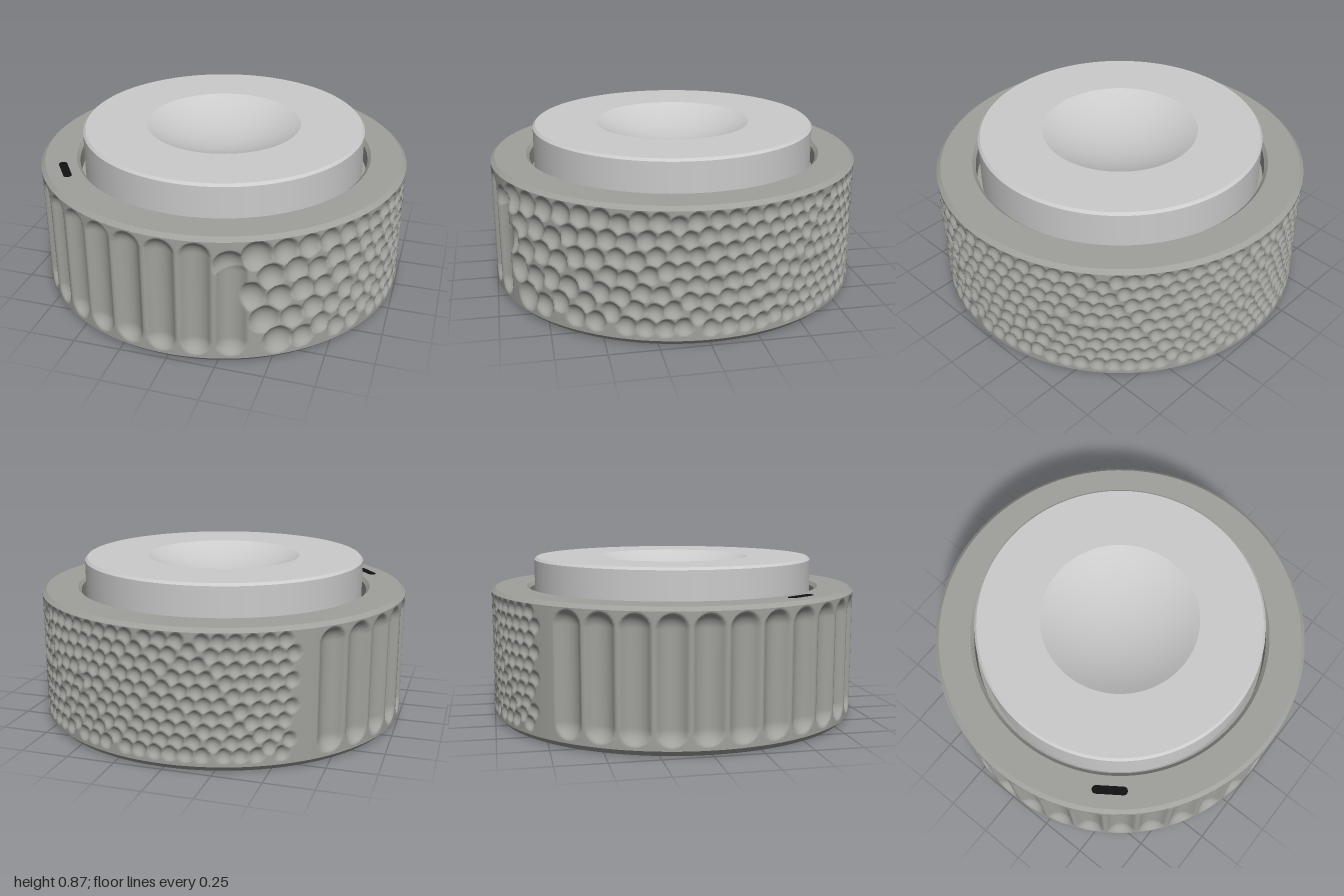
import * as THREE from 'three';
import { mergeVertices, toCreasedNormals } from 'three/addons/utils/BufferGeometryUtils.js';

const DEG = Math.PI / 180;
const BODY = 0xa0a09c, CAP = 0xcccccc, BLACK = 0x111111;

function addMesh(group, name, geometry, color) {
  const mesh = new THREE.Mesh(geometry, new THREE.MeshStandardMaterial({ color }));
  mesh.name = name;
  group.add(mesh);
  return mesh;
}

// Turned part from [radius, height] pairs, keeping the edges sharp
function turned(profile) {
  const points = profile.map(([r, y]) => new THREE.Vector2(r, y));
  return toCreasedNormals(new THREE.LatheGeometry(points, 128), 0.35);
}

// Grip cuts: each is a round-ended groove { t: angle, y, half: straight half length, r }
function gripCuts() {
  const cuts = [];
  // Vertical flutes, the last one cut short by the dimples
  for (let i = 0; i < 15; i++) cuts.push({ t: 8.7 - 10 * i, y: 0.365, half: 0.24, r: 0.075 });
  cuts.push({ t: 18.7, y: 0.32, half: 0.195, r: 0.075 });

  // Dimples packed tightly around the rest, shrinking with the angle
  const dimples = [[18, 0.565], [23.8, 0.39], [25.5, 0.61], [28, 0.25], [32, 0.12]]
    .map(([t, y]) => ({ t, y, half: 0, r: 0.078 }));
  for (let t = 29; t <= 217; t += 0.5) {
    const r = 0.038 + 0.042 * Math.exp(-(t - 18) / 40);
    const low = 0.05 + r, high = 0.685 - r;
    for (let i = 0; i <= 60; i++) {
      // work inwards from the two rims
      const step = (high - low) * Math.floor(i / 2) / 60;
      const y = i % 2 ? low + step : high - step;
      const free = dimples.every(d =>
        Math.hypot((t - d.t) * DEG, y - d.y) > 0.93 * (r + d.r));
      if (free) dimples.push({ t, y, half: 0, r });
    }
  }
  return cuts.concat(dimples);
}

// Outer wall: an open cylinder pushed inwards wherever a cut reaches
function gripWall(bottom, top) {
  const height = top - bottom;
  const geo = new THREE.CylinderGeometry(1, 1, height, 700, 92, true);
  geo.translate(0, bottom + height / 2, 0);
  const cuts = gripCuts();
  const pos = geo.attributes.position;
  for (let i = 0; i < pos.count; i++) {
    const x = pos.getX(i), y = pos.getY(i), z = pos.getZ(i);
    const angle = Math.atan2(x, z) / DEG;
    let depth = 0;
    for (const c of cuts) {
      const dy = Math.max(0, Math.abs(y - c.y) - c.half);
      if (dy > c.r) continue;
      let dt = angle - c.t;
      dt -= 360 * Math.round(dt / 360);
      const d = Math.hypot(dt * DEG, dy);
      if (d >= c.r) continue;
      const h = 0.6 * c.r;
      const R = (c.r * c.r + h * h) / (2 * h);
      depth = Math.max(depth, Math.sqrt(R * R - d * d) - (R - h));
    }
    pos.setXYZ(i, x * (1 - depth), y, z * (1 - depth));
  }
  geo.deleteAttribute('uv');
  geo.deleteAttribute('normal');
  const merged = mergeVertices(geo);
  merged.computeVertexNormals();
  return merged;
}

// D-shaped shaft hole, flat side towards +x
function shaftHole() {
  const path = new THREE.Path();
  path.absarc(0, 0, 0.25, 60 * DEG, 300 * DEG, false);
  path.closePath();
  return path;
}

function disc(radius) {
  const shape = new THREE.Shape();
  shape.absarc(0, 0, radius, 0, Math.PI * 2, false);
  shape.holes.push(shaftHole());
  return shape;
}

export function createModel() {
  const model = new THREE.Group();
  model.name = 'knob';

  // Outer ring
  addMesh(model, 'gripWall', gripWall(0.03, 0.69), BODY);
  addMesh(model, 'bottomChamfer', turned([[0.97, 0], [1, 0.03]]), BODY);
  addMesh(model, 'topRim', turned([
    [1, 0.69], [0.978, 0.71], [0.808, 0.71], [0.79, 0.692], [0.79, 0.6], [0.74, 0.6],
  ]), BODY);

  // Underside with the shaft socket
  const base = new THREE.ShapeGeometry(disc(0.97), 64);
  base.rotateX(Math.PI / 2);
  addMesh(model, 'underside', base, BODY);

  const socket = new THREE.ExtrudeGeometry(disc(0.28), { depth: 0.5, bevelEnabled: false, curveSegments: 48 });
  socket.rotateX(-Math.PI / 2);
  socket.translate(0, 0.001, 0);
  addMesh(model, 'shaftSocket', toCreasedNormals(socket, 0.5), CAP);

  const ceiling = new THREE.CircleGeometry(0.28, 48);
  ceiling.rotateX(Math.PI / 2);
  ceiling.translate(0, 0.5, 0);
  addMesh(model, 'socketCeiling', ceiling, CAP);

  // Raised cap with a spherical finger dish
  const capProfile = [[0.765, 0.58], [0.765, 0.855], [0.752, 0.868]];
  const dishR = 0.42, sphereR = 0.93, rimAngle = Math.asin(dishR / sphereR);
  for (let i = 0; i <= 14; i++) {
    const a = rimAngle * (1 - i / 14);
    capProfile.push([sphereR * Math.sin(a), 0.868 - sphereR * (Math.cos(a) - Math.cos(rimAngle))]);
  }
  addMesh(model, 'cap', turned(capProfile), CAP);

  // Pointer mark on the rim
  const pill = new THREE.Shape();
  pill.absarc(0.07, 0, 0.022, -Math.PI / 2, Math.PI / 2, false);
  pill.absarc(-0.07, 0, 0.022, Math.PI / 2, Math.PI * 1.5, false);
  const markGeo = new THREE.ExtrudeGeometry(pill, { depth: 0.006, bevelEnabled: false });
  markGeo.rotateX(-Math.PI / 2);
  const mark = addMesh(model, 'pointerMark', markGeo, BLACK);
  mark.position.set(-0.722, 0.707, 0.507);
  mark.rotation.y = -0.96;

  return model;
}
